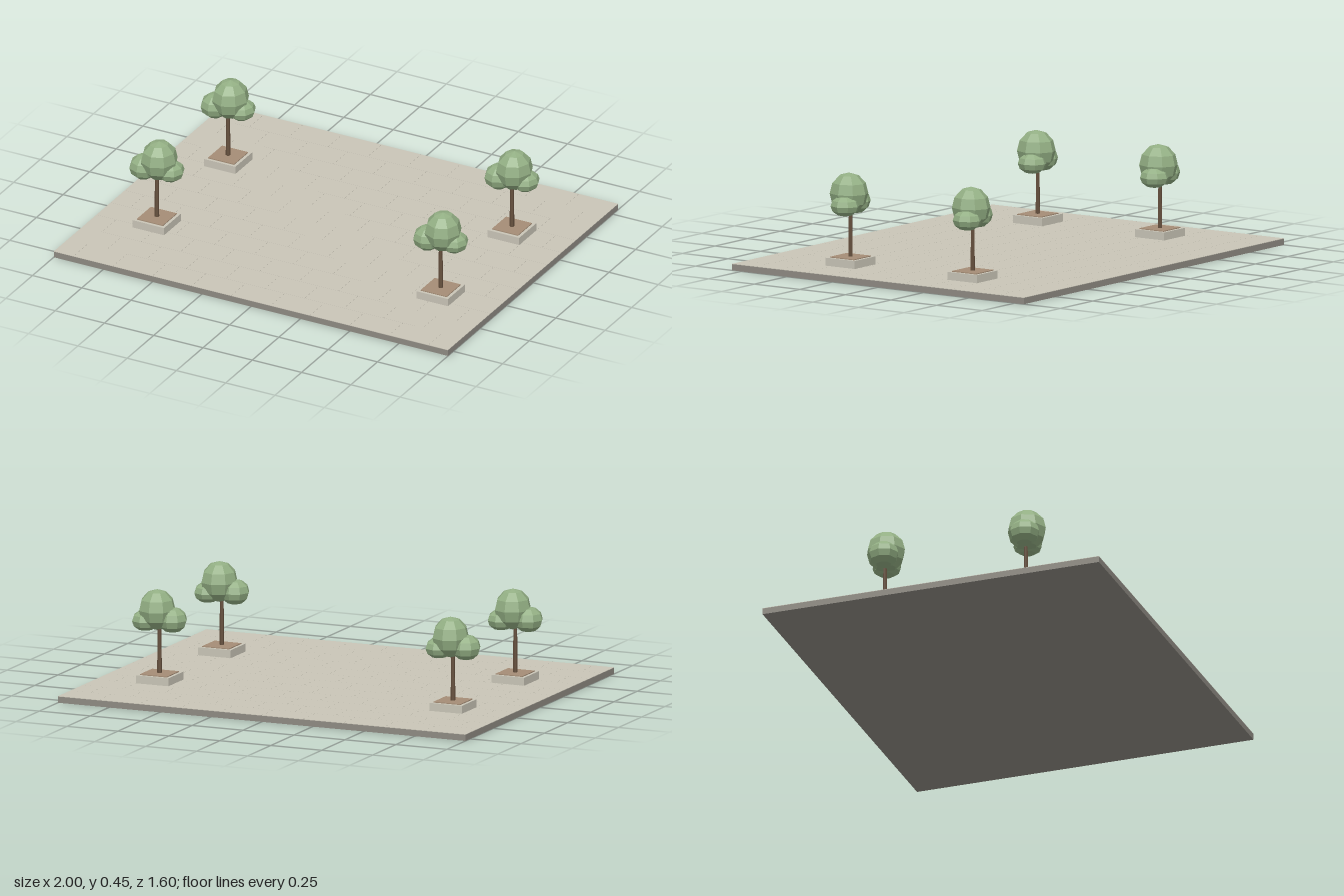
import * as THREE from 'three';

const material = (name, color, flatShading = false) => {
  const m = new THREE.MeshStandardMaterial({ color, flatShading });
  m.name = name;
  return m;
};

export function createModel() {
  const slabGrey = material('slab grey', 0x8f8b83);
  const stone = material('pale stone', 0xc9c5b7);
  const soilBrown = material('soil brown', 0xa58d76);
  const bark = material('bark brown', 0x66503e, true);
  const leaf = material('leaf green', 0x93af84, true);

  const plaza = new THREE.Group();
  plaza.name = 'plaza';

  const add = (parent, name, geometry, mat, x = 0, y = 0, z = 0) => {
    const mesh = new THREE.Mesh(geometry, mat);
    mesh.name = name;
    mesh.position.set(x, y, z);
    parent.add(mesh);
    return mesh;
  };

  // Ground slab
  add(plaza, 'slab', new THREE.BoxGeometry(2, 0.028, 1.6), slabGrey, 0, 0.014, 0);

  // Thin paving stones in a running bond, with hairline joints
  const paving = new THREE.Group();
  paving.name = 'paving';
  plaza.add(paving);
  const rows = 12, depth = 1.6 / rows, length = 0.2, joint = 0.0008;
  for (let r = 0; r < rows; r++) {
    const z = -0.8 + (r + 0.5) * depth;
    const shift = r % 2 ? length / 2 : 0;
    for (let start = -1 - shift; start < 0.999; start += length) {
      const a = Math.max(-1, start), b = Math.min(1, start + length);
      if (b - a < 0.01) continue;
      add(paving, 'pavingStone', new THREE.BoxGeometry(b - a - joint, 0.003, depth - joint),
        stone, (a + b) / 2, 0.0285, z);
    }
  }

  // Square planter curb with an opening for the soil
  const curbShape = new THREE.Shape([
    [-0.08, -0.08], [0.08, -0.08], [0.08, 0.08], [-0.08, 0.08],
  ].map(([x, y]) => new THREE.Vector2(x, y)));
  curbShape.holes.push(new THREE.Path([
    [-0.066, -0.066], [-0.066, 0.066], [0.066, 0.066], [0.066, -0.066],
  ].map(([x, y]) => new THREE.Vector2(x, y))));
  const curbGeometry = new THREE.ExtrudeGeometry(curbShape, { depth: 0.037, bevelEnabled: false });
  curbGeometry.rotateX(-Math.PI / 2);
  const soilGeometry = new THREE.BoxGeometry(0.132, 0.04, 0.132);
  const trunkGeometry = new THREE.CylinderGeometry(0.008, 0.011, 0.24, 6);
  const crownGeometry = new THREE.SphereGeometry(1, 8, 6);

  // Crown lobes: name, centre, radii
  const lobes = [
    ['crownTop', [0.012, 0.357, 0], [0.084, 0.093, 0.09]],
    ['crownLeftLobe', [-0.058, 0.313, 0.014], [0.067, 0.058, 0.07]],
    ['crownRightLobe', [0.062, 0.307, -0.014], [0.063, 0.048, 0.068]],
  ];

  // Four planted trees
  for (const x of [-0.72, 0.72]) {
    for (const z of [-0.32, 0.35]) {
      const tree = new THREE.Group();
      tree.name = 'plantedTree';
      tree.position.set(x, 0, z);
      plaza.add(tree);
      add(tree, 'planterCurb', curbGeometry, stone, 0, 0.029, 0);
      add(tree, 'soil', soilGeometry, soilBrown, 0, 0.05, 0);
      add(tree, 'trunk', trunkGeometry, bark, 0, 0.18, 0);
      for (const [name, centre, radii] of lobes) {
        add(tree, name, crownGeometry, leaf, ...centre).scale.set(...radii);
      }
    }
  }
  return plaza;
}
